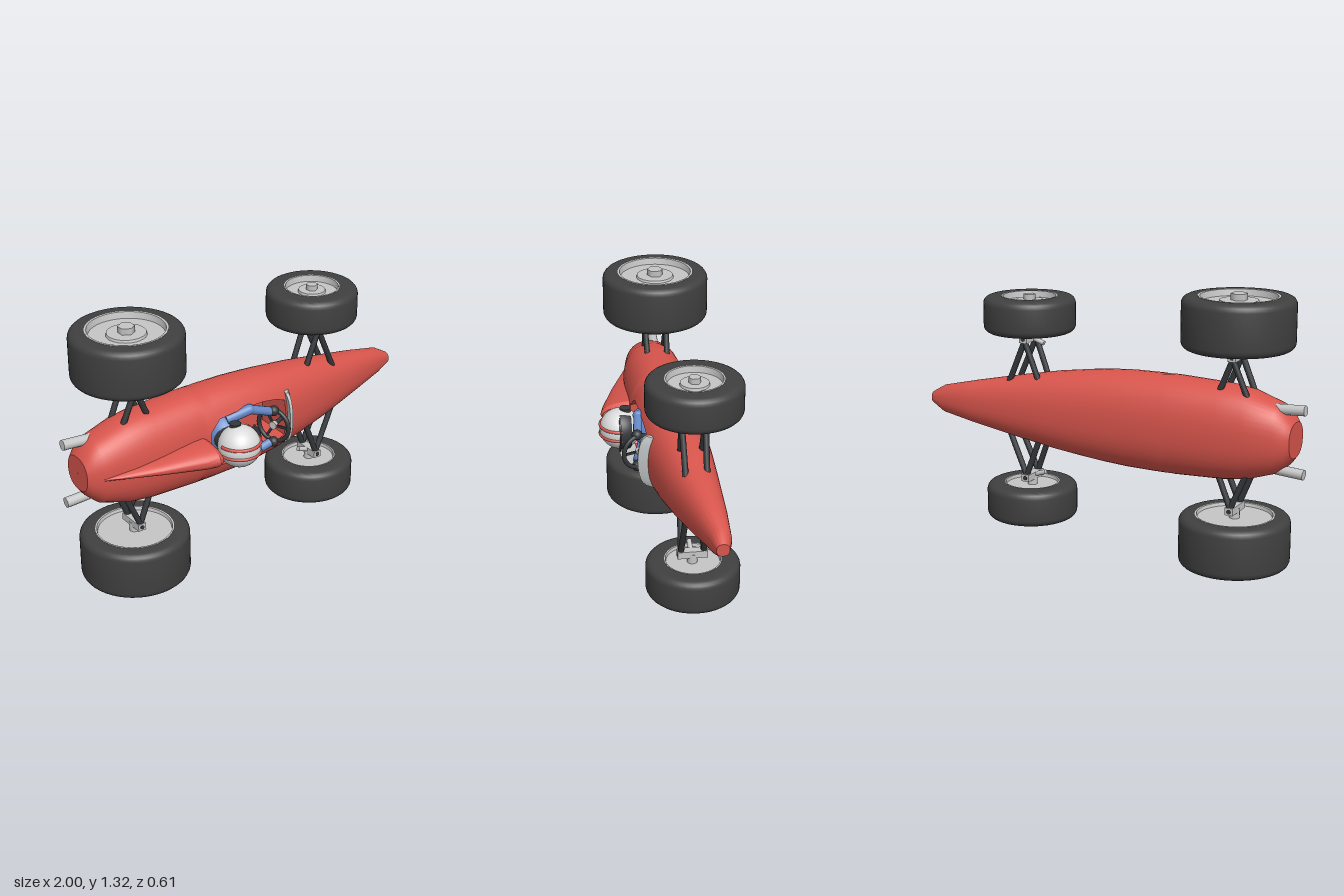
import * as THREE from 'three';
import { mergeGeometries, toCreasedNormals } from 'three/addons/utils/BufferGeometryUtils.js';

const V = (x, y, z) => new THREE.Vector3(x, y, z);
const mat = (name, color, side = THREE.FrontSide) => {
  const m = new THREE.MeshStandardMaterial({ color, side });
  m.name = name;
  return m;
};

// Skin between rows of points that all have the same length
function loft(rows) {
  const n = rows[0].length, pos = [], idx = [];
  rows.forEach(r => r.forEach(p => pos.push(p.x, p.y, p.z)));
  for (let i = 0; i < rows.length - 1; i++)
    for (let j = 0; j < n - 1; j++) {
      const a = i * n + j, b = a + n;
      idx.push(a, b, b + 1, a, b + 1, a + 1);
    }
  const g = new THREE.BufferGeometry();
  g.setAttribute('position', new THREE.Float32BufferAttribute(pos, 3));
  g.setIndex(idx);
  return g;
}

// Body sections: x, half width, bottom z, top z, half width of cockpit opening
const SECTIONS = [
  [-0.945, 0.001, -0.033, -0.031], [-0.945, 0.085, -0.12, 0.055], [-0.92, 0.12, -0.14, 0.075],
  [-0.87, 0.165, -0.16, 0.1], [-0.72, 0.215, -0.18, 0.125], [-0.6, 0.23, -0.19, 0.132],
  [-0.35, 0.24, -0.198, 0.135], [-0.31, 0.24, -0.199, 0.135, 0.07], [-0.25, 0.24, -0.2, 0.135, 0.125],
  [-0.1, 0.238, -0.2, 0.132, 0.135], [0.02, 0.23, -0.2, 0.126, 0.13], [0.1, 0.222, -0.2, 0.117, 0.115],
  [0.15, 0.216, -0.2, 0.11, 0.095], [0.3, 0.196, -0.2, 0.085], [0.5, 0.16, -0.195, 0.04],
  [0.75, 0.11, -0.187, -0.03], [0.93, 0.07, -0.175, -0.08], [1, 0.03, -0.155, -0.095],
  [1, 0.001, -0.126, -0.124],
];
const POWER = 2.3;

// Point of a section at an angle measured from the top
function ringPoint([x, half, bottom, top], t) {
  const e = v => Math.sign(v) * Math.abs(v) ** (2 / POWER);
  return V(x, half * e(Math.sin(t)), (top + bottom) / 2 + (top - bottom) / 2 * e(Math.cos(t)));
}
const openAngle = s => Math.asin(((s[4] ?? s[1] * 0.5) / s[1]) ** (POWER / 2));
function arc(s, from, to, n) {
  return Array.from({ length: n + 1 }, (_, i) => ringPoint(s, from + (to - from) * i / n));
}

function bodyGeometry() {
  const skin = SECTIONS.map(s => arc(s, openAngle(s), 2 * Math.PI - openAngle(s), 36));
  const deck = list => loft(list.map(s => arc(s, -openAngle(s), openAngle(s), 10)));
  return toCreasedNormals(mergeGeometries([
    loft(skin), deck(SECTIONS.slice(0, 8)), deck(SECTIONS.slice(12)),
  ]), 0.5);
}

function cockpitGeometry() {
  const open = SECTIONS.filter(s => s[4]);
  const wall = s => {
    const p = ringPoint(s, openAngle(s)), w = s[4];
    return [p, V(s[0], w * 0.35, s[3]), V(s[0], -w * 0.35, s[3]), V(p.x, -p.y, p.z)];
  };
  const tub = s => {
    const p = ringPoint(s, openAngle(s)), w = s[4] * 0.95;
    return [p, V(s[0], w, -0.08), V(s[0], -w, -0.08), V(p.x, -p.y, p.z)];
  };
  return toCreasedNormals(loft([wall(open[0]), ...open.map(tub), wall(open.at(-1))]), 0.5);
}

// Tapered fairing behind the driver: x, half width, top z
function fairingGeometry() {
  const stations = [[-0.88, 0.008, 0.1], [-0.62, 0.037, 0.2], [-0.42, 0.062, 0.265],
    [-0.36, 0.064, 0.28], [-0.338, 0.05, 0.272], [-0.33, 0.001, 0.2]];
  return toCreasedNormals(loft(stations.map(([x, w, top]) => Array.from({ length: 21 }, (_, i) => {
    const t = -Math.PI / 2 + Math.PI * i / 20;
    return V(x, w * Math.sin(t), 0.07 + (top - 0.07) * Math.cos(t) ** 0.7);
  }))), 0.5);
}

// Curved windscreen, a closed band leaning back
function screenGeometry() {
  const rows = [];
  for (let i = 0; i <= 16; i++) {
    const t = -1 + i / 8, y = 0.135 * t, drop = 0.025 * t * t, h = 0.05 * (1 - 0.35 * t ** 8);
    rows.push([V(0.205, y, 0.08 - drop), V(0.165, y, 0.1 + h - drop), V(0.148, y, 0.1 + h - drop),
      V(0.17, y, 0.08 - drop), V(0.205, y, 0.08 - drop)]);
  }
  rows.unshift(rows[0].map(() => V(0.17, -0.135, 0.09)));
  rows.push(rows[1].map(() => V(0.17, 0.135, 0.09)));
  return toCreasedNormals(loft(rows), 0.6);
}

export function createModel() {
  const root = new THREE.Group();
  const car = new THREE.Group();
  car.name = 'racingCar';
  car.position.y = 0.66;
  root.add(car);

  const paint = mat('red paint', 0xd8554c, THREE.DoubleSide);
  const rubber = mat('tyre rubber', 0x404040);
  const black = mat('black metal', 0x34373a);
  const silver = mat('silver metal', 0xc6c6c6);
  const glass = mat('pale screen', 0xc4c8c8, THREE.DoubleSide);
  const white = mat('helmet white', 0xdcdcdc);
  const blue = mat('blue overalls', 0x6488c6);

  const add = (name, geo, material, x = 0, y = 0, z = 0, parent = car) => {
    const m = new THREE.Mesh(geo, material);
    m.name = name;
    m.position.set(x, y, z);
    parent.add(m);
    return m;
  };
  const rod = (name, a, b, r, material) => {
    const d = b.clone().sub(a);
    const m = add(name, new THREE.CylinderGeometry(r, r, d.length(), 12), material);
    m.position.copy(a).addScaledVector(d, 0.5);
    m.quaternion.setFromUnitVectors(V(0, 1, 0), d.normalize());
    return m;
  };

  // Bodywork
  add('body', bodyGeometry(), paint);
  add('cockpit', cockpitGeometry(), paint);
  add('headFairing', fairingGeometry(), paint);
  add('windscreen', screenGeometry(), glass);

  // Wheel with its axle along y and its outer face towards side s
  function wheel(name, x, z, R, h, centre, rimR, nutEnd, s) {
    const g = new THREE.Group();
    g.name = name;
    g.position.set(x, s * centre, z);
    if (s < 0) g.rotation.x = Math.PI;
    car.add(g);
    const c = 0.035, profile = [[rimR, -h]];
    for (const [sy, a0] of [[-1, 0], [1, 1]])
      for (let i = 0; i <= 5; i++) {
        const t = Math.PI / 2 * (a0 ? 1 - i / 5 : i / 5);
        profile.push([R - c + c * Math.sin(t), sy * (h - c + c * Math.cos(t))]);
      }
    profile.push([rimR, h]);
    const lathe = (pts, a) => toCreasedNormals(
      new THREE.LatheGeometry(pts.map(p => new THREE.Vector2(...p)), 48), a);
    add('tyre', lathe(profile, 0.6), rubber, 0, 0, 0, g);
    add('rim', lathe([[0, -h + 0.015], [rimR * 0.94, -h + 0.015], [rimR * 0.96, -h - 0.001], [rimR, -h - 0.001],
      [rimR, h + 0.001], [rimR * 0.95, h + 0.001], [rimR * 0.92, h - 0.03], [0, h - 0.03]], 0.4), silver, 0, 0, 0, g);
    add('hub', new THREE.CylinderGeometry(rimR * 0.48, rimR * 0.5, 0.014, 32), silver, 0, h - 0.025, 0, g);
    const top = nutEnd - centre;
    add('wheelNut', new THREE.CylinderGeometry(rimR * 0.21, rimR * 0.21, 0.045, 6), silver, 0, top - 0.0225, 0, g);
  }

  for (const s of [1, -1]) {
    wheel('rearWheel', -0.65, -0.038, 0.267, 0.1225, 0.525, 0.19, 0.66, s);
    wheel('frontWheel', 0.45, -0.078, 0.227, 0.0885, 0.475, 0.137, 0.572, s);

    // Suspension: two V-shaped arms on each upright
    for (const [end, x, z, y, feet] of [
      ['rear', -0.65, -0.04, 0.37, [[-0.73, 0.17], [-0.57, 0.17]]],
      ['front', 0.45, -0.075, 0.355, [[0.365, 0.12], [0.55, 0.12]]],
    ]) {
      add(end + 'Upright', new THREE.BoxGeometry(0.042, 0.036, 0.145), silver, x, s * y, z);
      rod(end + 'Axle', V(x, s * y, z), V(x, s * 0.42, z), 0.025, silver);
      for (const dz of [0.055, -0.055]) {
        add(end + 'Joint', new THREE.CylinderGeometry(0.011, 0.011, 0.15, 10).rotateX(Math.PI / 2), black, x, s * y, z);
        for (const [fx, fy] of feet)
          rod(end + 'Arm', V(x, s * (y - 0.01), z + dz), V(fx, s * fy, z + dz * 0.9), 0.0145, black);
      }
    }
    rod('steeringLink', V(0.375, s * 0.33, -0.07), V(0.45, s * 0.355, -0.07), 0.012, silver);

    // Exhaust pipe
    rod('exhaust', V(-1, s * 0.152, -0.062), V(-0.8, s * 0.14, -0.055), 0.025, silver);

    // Driver's arm and glove
    const joints = [V(-0.19, s * 0.09, 0.085), V(-0.08, s * 0.125, 0.12), V(0.035, s * 0.085, 0.135)];
    rod('upperArm', joints[0], joints[1], 0.026, blue);
    rod('forearm', joints[1], joints[2], 0.022, blue);
    add('elbow', new THREE.SphereGeometry(0.026, 16, 12), blue, ...joints[1]);
    add('glove', new THREE.SphereGeometry(0.026, 16, 12), black, 0.052, s * 0.085, 0.14);

    // Helmet side details
    add('earPiece', new THREE.CylinderGeometry(0.028, 0.028, 0.02, 20), black, -0.2, s * 0.1, 0.17);
    add('helmetStripe', new THREE.TorusGeometry(0.101, 0.008, 8, 40, Math.PI).rotateX(Math.PI / 2), paint, -0.195, s * 0.024, 0.196);
  }

  // Driver
  add('torso', new THREE.SphereGeometry(1, 28, 20).scale(0.1, 0.11, 0.13), blue, -0.18, 0, 0.01);
  add('neck', new THREE.CylinderGeometry(0.06, 0.075, 0.08, 24).rotateX(Math.PI / 2), black, -0.19, 0, 0.11);
  add('helmet', new THREE.SphereGeometry(0.104, 36, 24).rotateX(Math.PI / 2), white, -0.195, 0, 0.196);
  add('visor', new THREE.SphereGeometry(0.108, 28, 8, Math.PI - 1.1, 2.2, 1.5, 0.55).rotateX(Math.PI / 2), black, -0.195, 0, 0.196);
  add('visorPeak', new THREE.CylinderGeometry(0.122, 0.122, 0.008, 24, 1, false, Math.PI / 2 - 0.9, 1.8)
    .rotateX(Math.PI / 2), black, -0.195, 0, 0.205);

  // Steering wheel, facing the driver
  const steering = new THREE.Group();
  steering.name = 'steeringWheel';
  steering.position.set(0.06, 0, 0.13);
  steering.rotation.y = Math.PI / 2 + 0.38;
  car.add(steering);
  add('steeringRim', new THREE.TorusGeometry(0.084, 0.011, 10, 36), black, 0, 0, 0, steering);
  for (let i = 0; i < 3; i++) {
    const spoke = add('spoke', new THREE.BoxGeometry(0.012, 0.084, 0.008).translate(0, 0.042, 0), black, 0, 0, 0, steering);
    spoke.rotation.z = Math.PI / 2 + i * Math.PI * 2 / 3;
  }
  add('steeringHub', new THREE.CylinderGeometry(0.02, 0.02, 0.02, 20).rotateX(Math.PI / 2), silver, 0, 0, 0, steering);
  rod('steeringColumn', V(0.06, 0, 0.13), V(0.16, 0, 0.085), 0.011, black);
  return root;
}
